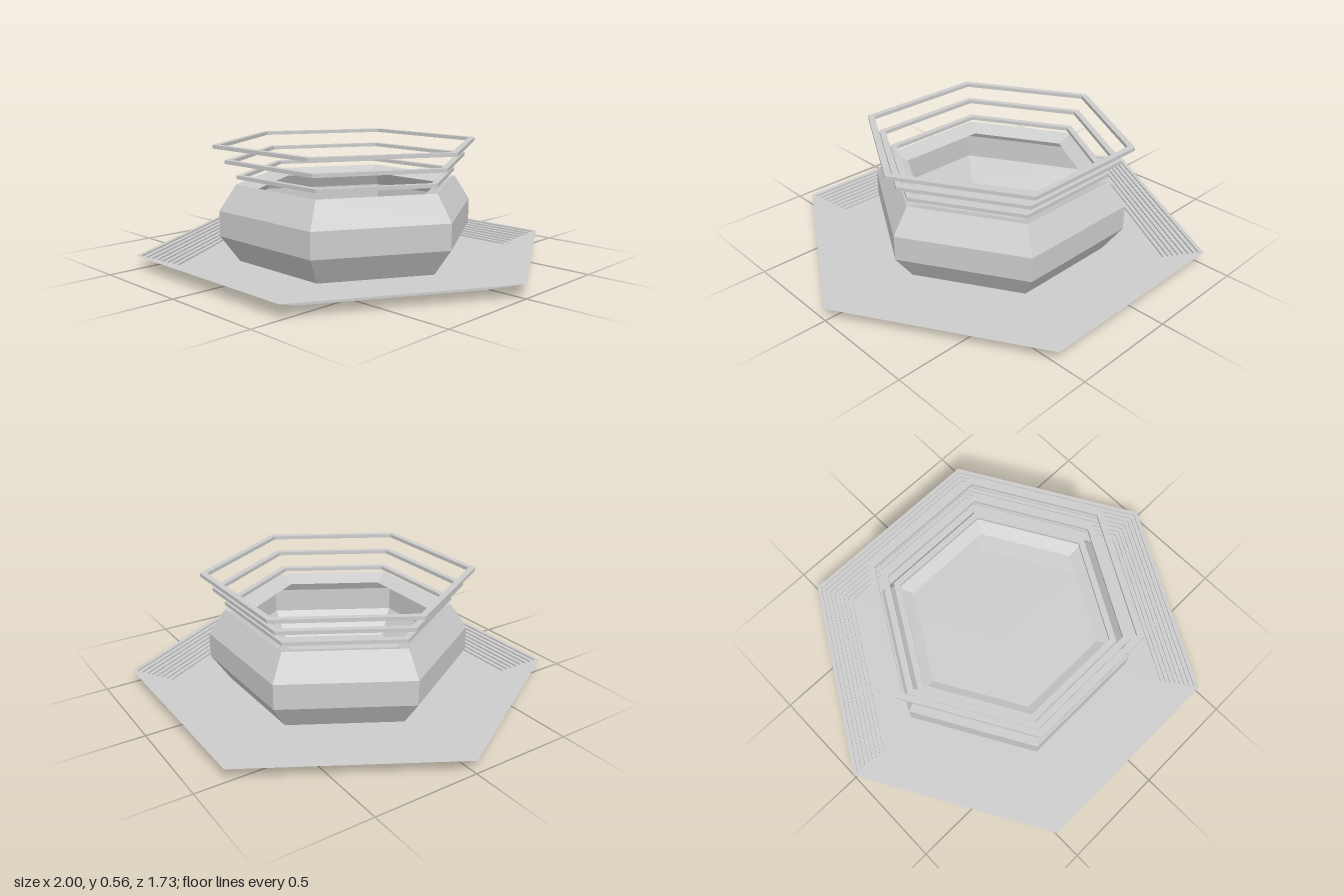
import * as THREE from 'three';

const material = new THREE.MeshStandardMaterial({
  color: 0xcccccc, flatShading: true, side: THREE.DoubleSide,
});

// Six-sided turned shape from [radius, height] points, corners on the x axis
function hexLathe(name, profile) {
  const points = profile.map(([r, y]) => new THREE.Vector2(r, y));
  const mesh = new THREE.Mesh(new THREE.LatheGeometry(points, 6, Math.PI / 2), material);
  mesh.name = name;
  return mesh;
}

export function createModel() {
  const group = new THREE.Group();
  group.name = 'pottedStand';

  // Thin terraced saucer: flat floor, then small risers and treads out to the rim
  const steps = 8, floorRadius = 0.82, saucerHeight = 0.062;
  const saucer = [[0, 0], [floorRadius, 0]];
  for (let i = 1; i <= steps; i++) {
    const y = (saucerHeight * i) / steps;
    const tread = (1 - floorRadius) / steps;
    saucer.push([floorRadius + (i - 1) * tread, y], [floorRadius + i * tread, y]);
  }
  group.add(hexLathe('saucer', saucer));

  // Thin-walled bowl with a lip folded inwards
  group.add(hexLathe('bowl', [
    [0, 0.006], [0.53, 0.006], [0.62, 0.13], [0.62, 0.25], [0.54, 0.37], [0.45, 0.34],
  ]));

  // Three floating rings, widening upwards
  for (let i = 0; i < 3; i++) {
    const outer = 0.537 + i * 0.053, inner = outer - 0.033;
    const low = 0.395 + i * 0.0725, high = low + 0.017;
    group.add(hexLathe(`ring${i + 1}`, [
      [inner, low], [outer, low], [outer, high], [inner, high], [inner, low],
    ]));
  }
  return group;
}
